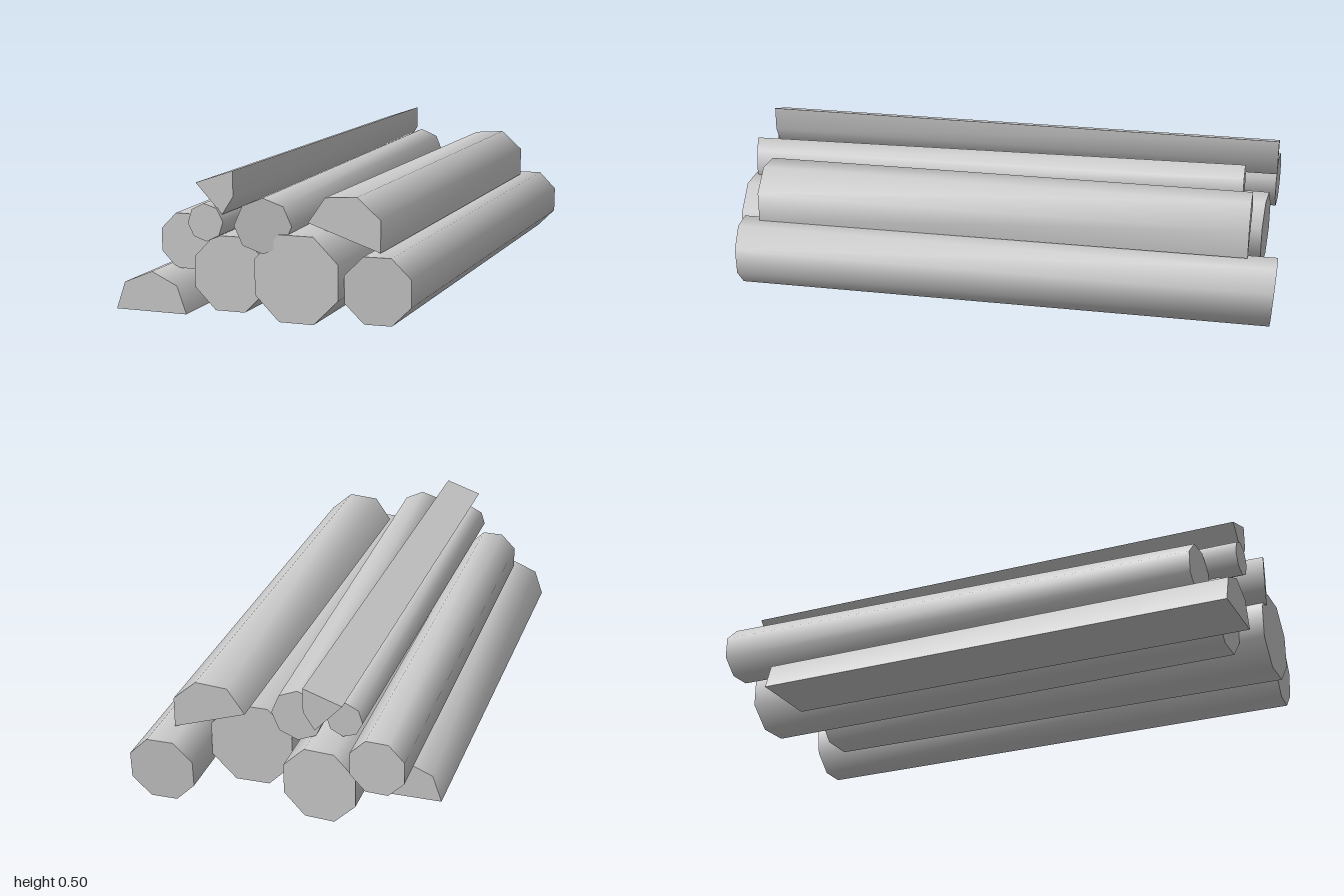
import * as THREE from 'three';
import { mergeGeometries } from 'three/addons/utils/BufferGeometryUtils.js';

// Indexed surface; corners shared inside one piece are shaded smoothly
function surface(points, index) {
  const g = new THREE.BufferGeometry();
  g.setAttribute('position', new THREE.Float32BufferAttribute(points.flat(), 3));
  g.setIndex(index);
  g.computeVertexNormals();
  return g;
}

// Lengthwise skin between a front and a back outline (counter-clockwise from the front)
function skin(front, back, closed) {
  const n = front.length, index = [];
  for (let i = 0; i < (closed ? n : n - 1); i++) {
    const j = (i + 1) % n;
    index.push(i, n + i, n + j, i, n + j, j);
  }
  return surface([...front, ...back], index);
}

function cap(points, flip) {
  const index = [];
  for (let i = 1; i < points.length - 1; i++) index.push(0, flip ? i + 1 : i, flip ? i : i + 1);
  return surface(points, index);
}

// Octagonal outline; slant tilts the sawn end along x and y
function octagon([x, y, z], r, turn, [sx, sy] = [0, 0]) {
  return Array.from({ length: 8 }, (_, i) => {
    const a = turn + i * Math.PI / 4, dx = r * Math.cos(a), dy = r * Math.sin(a);
    return [x + dx, y + dy, z + sx * dx + sy * dy];
  });
}

export function createModel() {
  const group = new THREE.Group();
  const wood = new THREE.MeshStandardMaterial({ color: 0xcccccc });
  wood.name = 'plain grey wood';

  const add = (name, pieces) => {
    const mesh = new THREE.Mesh(mergeGeometries(pieces), wood);
    mesh.name = name;
    group.add(mesh);
  };

  // Whole round logs: name, front centre, back centre, radius, turn, front slant, back slant
  const flat = Math.PI / 8;
  const logs = [
    ['rightLog', [0.391, 0.13, 0.925], [0.393, 0.127, -0.992], 0.12, flat, [-0.05, 0.03], [0, -0.06]],
    ['middleLog', [0.13, 0.158, 0.97], [0.137, 0.17, -0.82], 0.155, flat],
    ['leftMiddleLog', [-0.142, 0.139, 0.88], [-0.14, 0.126, -0.94], 0.137, flat, [0, 0], [0.08, 0]],
    ['upperLeftLog', [-0.317, 0.231, 0.84], [-0.345, 0.244, -0.972], 0.101, flat, [0.04, 0], [0.06, 0]],
    ['smallLog', [-0.193, 0.322, 0.955], [-0.193, 0.322, -0.83], 0.063, 0.08],
    ['topLog', [0.02, 0.327, 0.978], [-0.04, 0.327, -0.855], 0.091, 0, [-0.24, 0], [0, 0]],
  ];
  for (const [name, f, b, r, turn, fs, bs] of logs) {
    const front = octagon(f, r, turn, fs), back = octagon(b, r, turn, bs);
    add(name, [skin(front, back, true), cap(front, false), cap(back, true)]);
  }

  // Split logs: rounded bark outline, then the flat cut corners, front z, back z
  const splits = [
    ['leftHalfLog', [[-0.252, 0.017], [-0.285, 0.11], [-0.375, 0.152], [-0.475, 0.11], [-0.507, 0.017]], [], 0.985, -0.75],
    ['upperRightHalfLog', [[0.38, 0.242], [0.38, 0.348], [0.3, 0.419], [0.19, 0.411], [0.13, 0.325]], [], 0.865, -0.895],
    ['topWedge', [[-0.137, 0.35], [-0.098, 0.41], [-0.098, 0.495]], [[-0.23, 0.45]], 0.945, -0.97],
  ];
  for (const [name, bark, cut, zf, zb] of splits) {
    const at = (pts, z) => pts.map(([x, y]) => [x, y, z]);
    const pieces = [skin(at(bark, zf), at(bark, zb), false)];
    const path = [bark[bark.length - 1], ...cut, bark[0]];
    for (let i = 0; i < path.length - 1; i++) {
      const edge = [path[i], path[i + 1]];
      pieces.push(skin(at(edge, zf), at(edge, zb), false));
    }
    const outline = [...bark, ...cut];
    pieces.push(cap(at(outline, zf), false), cap(at(outline, zb), true));
    add(name, pieces);
  }
  return group;
}
